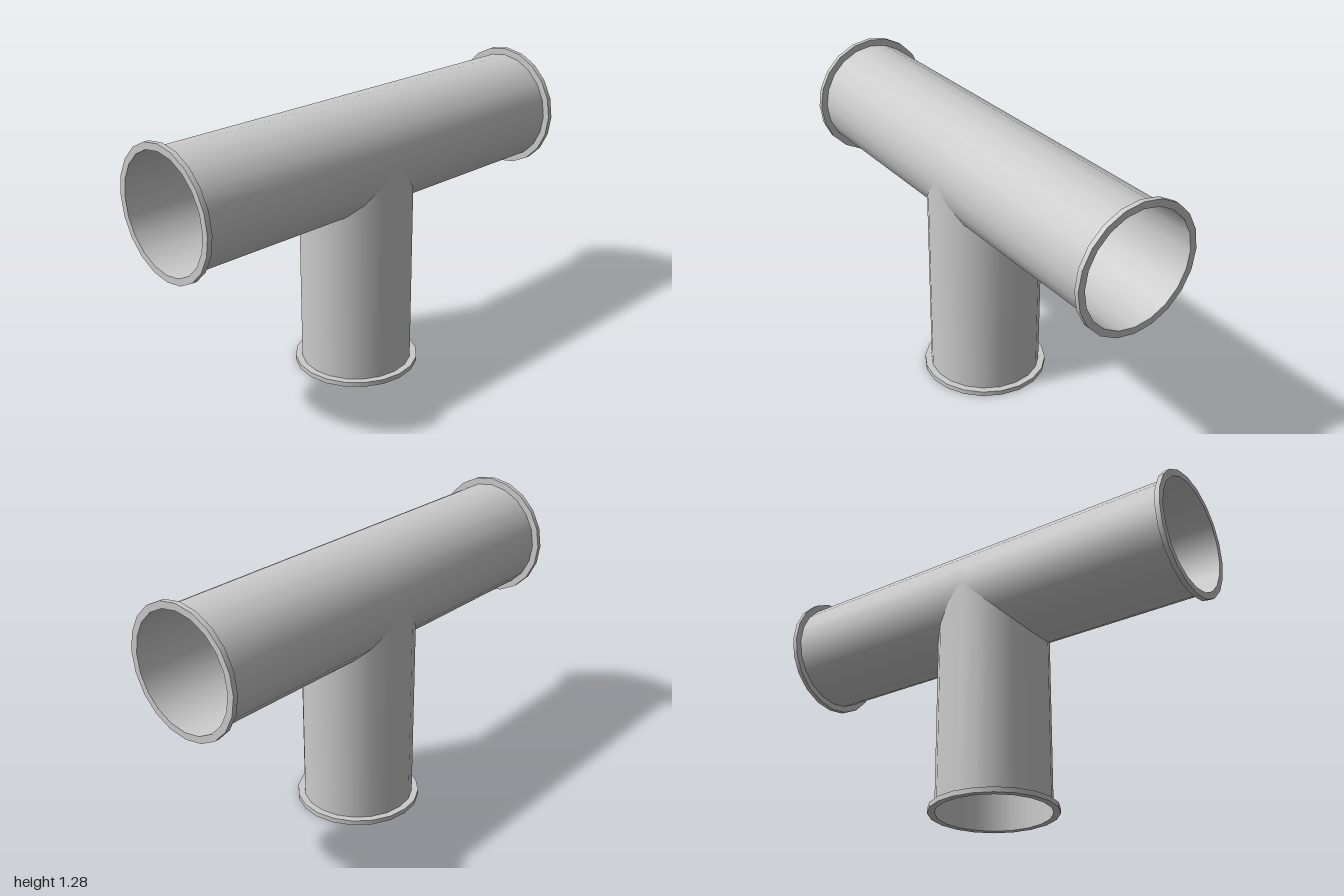
import * as THREE from 'three';
import { toCreasedNormals } from 'three/addons/utils/BufferGeometryUtils.js';

const SIDES = 20, RADIUS = 0.25, FLANGE_RADIUS = 0.28, FLANGE_DEPTH = 0.022;

export function createModel() {
  const material = new THREE.MeshStandardMaterial({ color: 0xcccccc, side: THREE.DoubleSide });
  const model = new THREE.Group();
  model.name = 'teePipe';

  // Arm along local +y from the junction centre; cut(z) gives the mitred start of the wall
  function addArm(name, cut) {
    const arm = new THREE.Group();
    arm.name = name;

    const wall = new THREE.CylinderGeometry(RADIUS, RADIUS, 1, SIDES, 1, true);
    const pos = wall.attributes.position;
    for (let i = 0; i < pos.count; i++) {
      pos.setY(i, pos.getY(i) > 0 ? 1 : cut(pos.getZ(i)));
    }
    const pipe = new THREE.Mesh(wall, material);
    pipe.name = name + 'Wall';

    // Flange ring around the open end
    const profile = [
      [RADIUS, 1 - FLANGE_DEPTH], [FLANGE_RADIUS, 1 - FLANGE_DEPTH],
      [FLANGE_RADIUS, 1], [RADIUS, 1],
    ].map(([r, y]) => new THREE.Vector2(r, y));
    const ring = toCreasedNormals(new THREE.LatheGeometry(profile, SIDES), 0.6);
    const flange = new THREE.Mesh(ring, material);
    flange.name = name + 'Flange';

    arm.add(pipe, flange);
    arm.position.y = 1;
    model.add(arm);
    return arm;
  }

  // Two halves of the straight run, notched underneath, and the branch that fills the notch
  addArm('frontArm', (z) => Math.max(0, z)).rotation.x = Math.PI / 2;
  addArm('backArm', (z) => Math.max(0, -z)).rotation.x = -Math.PI / 2;
  addArm('lowerBranch', (z) => Math.abs(z)).rotation.x = Math.PI;

  return model;
}
